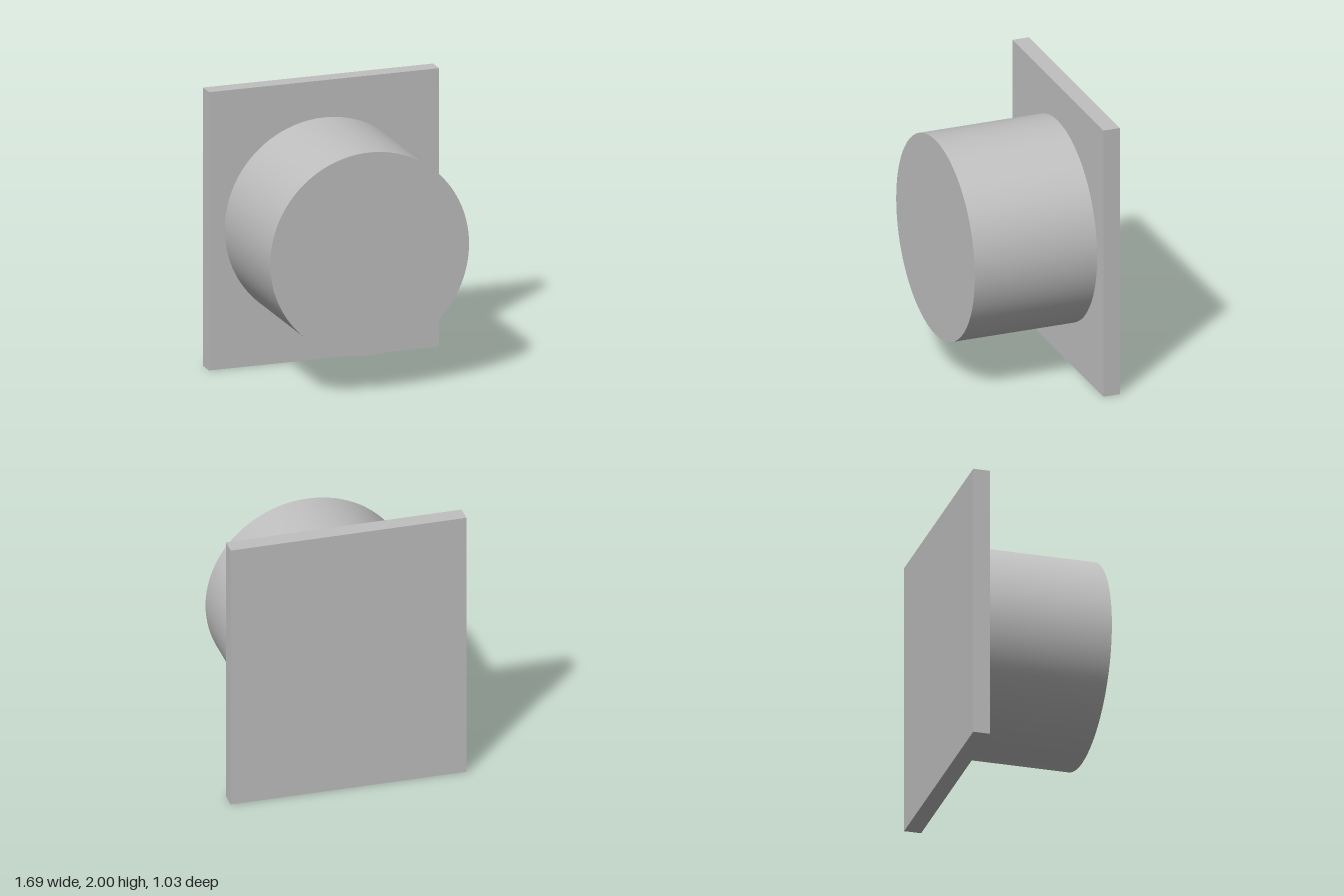
import * as THREE from 'three';

export function createModel() {
  const model = new THREE.Group();
  const grey = new THREE.MeshStandardMaterial({ color: 0xc0c0c0 });
  grey.name = 'light grey';

  const depth = 1.03, plateDepth = 0.122, radius = 0.73;
  const drumDepth = depth - plateDepth;

  // Upright rectangular plate at the back
  const plate = new THREE.Mesh(new THREE.BoxGeometry(1.69, 2, plateDepth), grey);
  plate.name = 'backPlate';
  plate.position.set(0, 1, (plateDepth - depth) / 2);
  model.add(plate);

  // Round drum projecting forward from the plate
  const drumGeometry = new THREE.CylinderGeometry(radius, radius, drumDepth, 96);
  drumGeometry.rotateX(Math.PI / 2);
  const drum = new THREE.Mesh(drumGeometry, grey);
  drum.name = 'drum';
  drum.position.set(0, 1.003, (depth - drumDepth) / 2);
  model.add(drum);

  return model;
}
